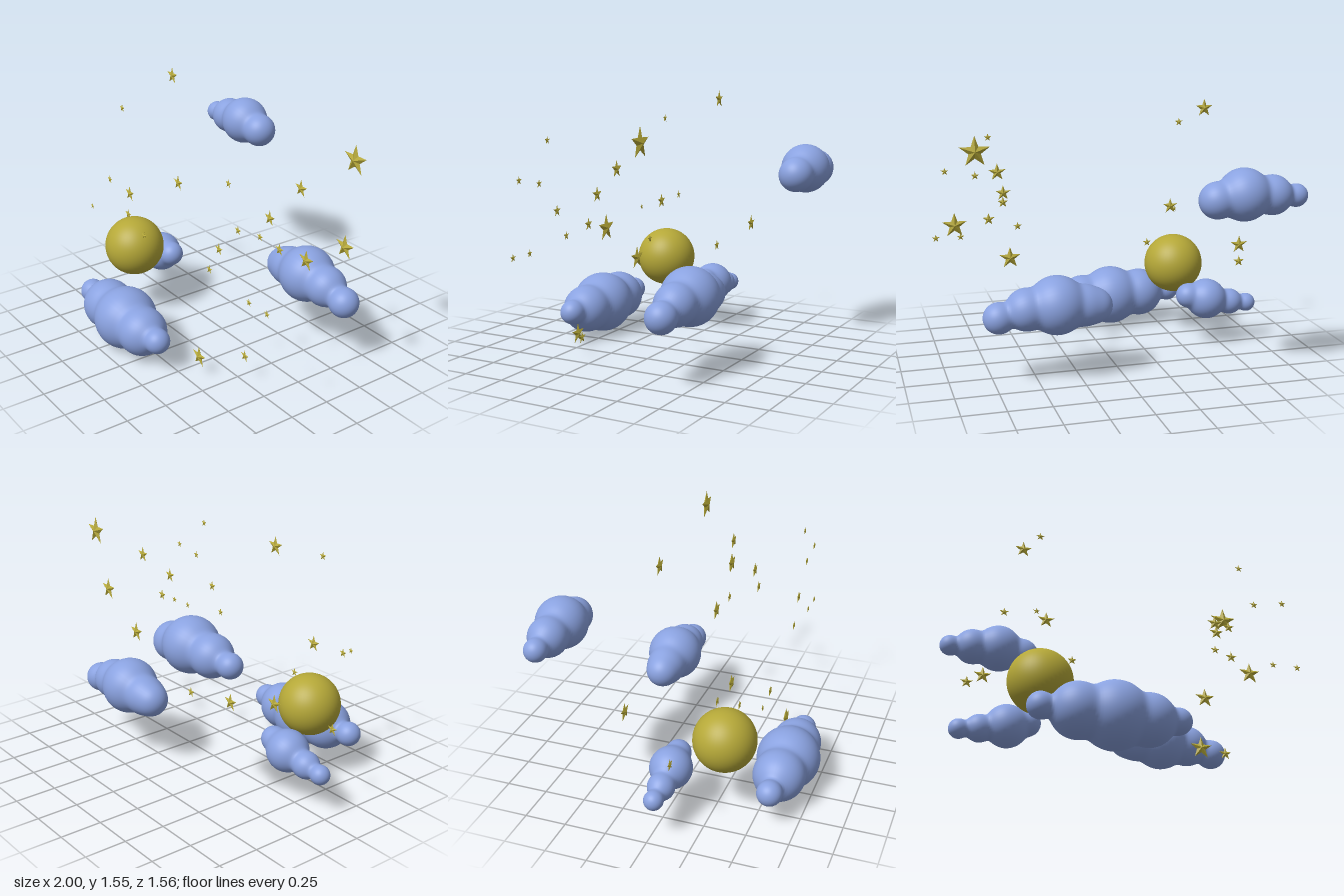
import * as THREE from 'three';

const cloudBlue = new THREE.MeshStandardMaterial({ name: 'cloudBlue', color: 0x8aa2e0 });
const moonYellow = new THREE.MeshStandardMaterial({ name: 'moonYellow', color: 0xb5a838 });

// Cloud skin: puffs [x, y, radius] in a row melt together; rings along x are pushed out to the blended surface
function cloudGeometry(puffs) {
  const rings = 90, sides = 36, softness = 0.012;
  const first = puffs[0], last = puffs[puffs.length - 1];
  const start = first[0] - first[2], end = last[0] + last[2];

  const inside = (x, y, z) => puffs.reduce((sum, [px, py, r]) =>
    sum + Math.exp((r - Math.hypot(x - px, y - py, z)) / softness), 0) > 1;

  // height of the axis, running straight from puff to puff
  const axisY = (x) => {
    if (x <= first[0]) return first[1];
    const i = puffs.findIndex((p) => p[0] >= x);
    if (i < 0) return last[1];
    const [a, b] = [puffs[i - 1], puffs[i]];
    return THREE.MathUtils.mapLinear(x, a[0], b[0], a[1], b[1]);
  };

  const positions = [], index = [];
  for (let i = 0; i <= rings; i++) {
    const x = THREE.MathUtils.lerp(start, end, (1 - Math.cos((i / rings) * Math.PI)) / 2);
    const mid = axisY(x);
    for (let j = 0; j < sides; j++) {
      const a = (j / sides) * Math.PI * 2, dy = Math.cos(a), dz = Math.sin(a);
      let near = 0, far = i === 0 || i === rings ? 0 : 0.3;
      for (let n = 0; n < 20; n++) {
        const r = (near + far) / 2;
        if (inside(x, mid + r * dy, r * dz)) near = r;
        else far = r;
      }
      positions.push(x, mid + near * dy, near * dz);
      if (i === rings) continue;
      const k = (j + 1) % sides;
      const a0 = i * sides + j, a1 = i * sides + k;
      index.push(a0, a1, a0 + sides, a1, a1 + sides, a0 + sides);
    }
  }
  const g = new THREE.BufferGeometry();
  g.setAttribute('position', new THREE.Float32BufferAttribute(positions, 3));
  g.setIndex(index);
  g.computeVertexNormals();
  return g;
}

// Faceted five-pointed star of radius 1, ridged on both sides
function starGeometry() {
  const rim = (i) => {
    const r = i % 2 ? 0.4 : 1, a = Math.PI / 2 + (i * Math.PI) / 5;
    return [r * Math.cos(a), r * Math.sin(a), 0];
  };
  const positions = [];
  for (let i = 0; i < 10; i++) {
    const a = rim(i), b = rim(i + 1);
    positions.push(0, 0, 0.22, ...a, ...b, 0, 0, -0.22, ...b, ...a);
  }
  const g = new THREE.BufferGeometry();
  g.setAttribute('position', new THREE.Float32BufferAttribute(positions, 3));
  g.computeVertexNormals();
  return g;
}

export function createModel() {
  const model = new THREE.Group();
  model.name = 'nightSky';

  // Clouds
  const addCloud = (name, z, puffs) => {
    const cloud = new THREE.Mesh(cloudGeometry(puffs), cloudBlue);
    cloud.name = name;
    cloud.position.z = z;
    model.add(cloud);
  };
  addCloud('frontCloud', 0.585, [[-0.59, 0.205, 0.075], [-0.39, 0.2, 0.155], [-0.19, 0.195, 0.19], [0, 0.19, 0.148], [0.165, 0.2, 0.075]]);
  addCloud('middleCloud', 0.02, [[-0.93, 0.25, 0.057], [-0.815, 0.265, 0.08], [-0.66, 0.295, 0.125], [-0.54, 0.325, 0.075]]);
  addCloud('upperCloud', -0.635, [[-0.935, 1.07, 0.066], [-0.79, 1.08, 0.114], [-0.62, 1.09, 0.15], [-0.463, 1.065, 0.105]]);
  addCloud('rightCloud', -0.355, [[0.16, 0.43, 0.1], [0.23, 0.437, 0.122], [0.385, 0.45, 0.171], [0.56, 0.438, 0.124], [0.72, 0.4, 0.091]]);

  // Moon
  const moon = new THREE.Mesh(new THREE.SphereGeometry(0.185, 48, 32), moonYellow);
  moon.name = 'moon';
  moon.position.set(-0.535, 0.466, 0.3);
  model.add(moon);

  // Stars in layers of equal depth, each star as [x, y, radius]
  const starShape = starGeometry();
  const addStars = (z, stars) => {
    for (const [x, y, r] of stars) {
      const star = new THREE.Mesh(starShape, moonYellow);
      star.name = 'star';
      star.position.set(x, y, z);
      star.scale.setScalar(r);
      model.add(star);
    }
  };
  addStars(0.54, [[-0.62, 0.77, 0.02]]);
  addStars(0.42, [[0.635, 1.31, 0.025], [0.72, 1.075, 0.027], [0.905, 1.11, 0.025], [0.55, 0.9, 0.036], [0.46, 0.742, 0.028]]);
  addStars(0.42, [[0.82, 0.695, 0.024], [0.973, 0.695, 0.025], [0.352, 0.13, 0.065]]);
  addStars(0.33, [[-0.57, 1.375, 0.027], [-0.76, 0.85, 0.028], [-0.52, 0.835, 0.05], [-0.365, 0.605, 0.028]]);
  addStars(0.25, [[0.565, 0.178, 0.038]]);
  addStars(0.115, [[-0.915, 0.495, 0.038], [0.6, 1.02, 0.047], [0.69, 0.865, 0.038]]);
  addStars(-0.05, [[-0.595, 1.505, 0.055], [0.66, 1.175, 0.052]]);
  addStars(-0.147, [[0.925, 0.9, 0.073], [0.612, 0.69, 0.065]]);
  addStars(-0.2, [[-0.78, 0.69, 0.055]]);
  addStars(-0.29, [[0.82, 1.335, 0.09]]);
  return model;
}
